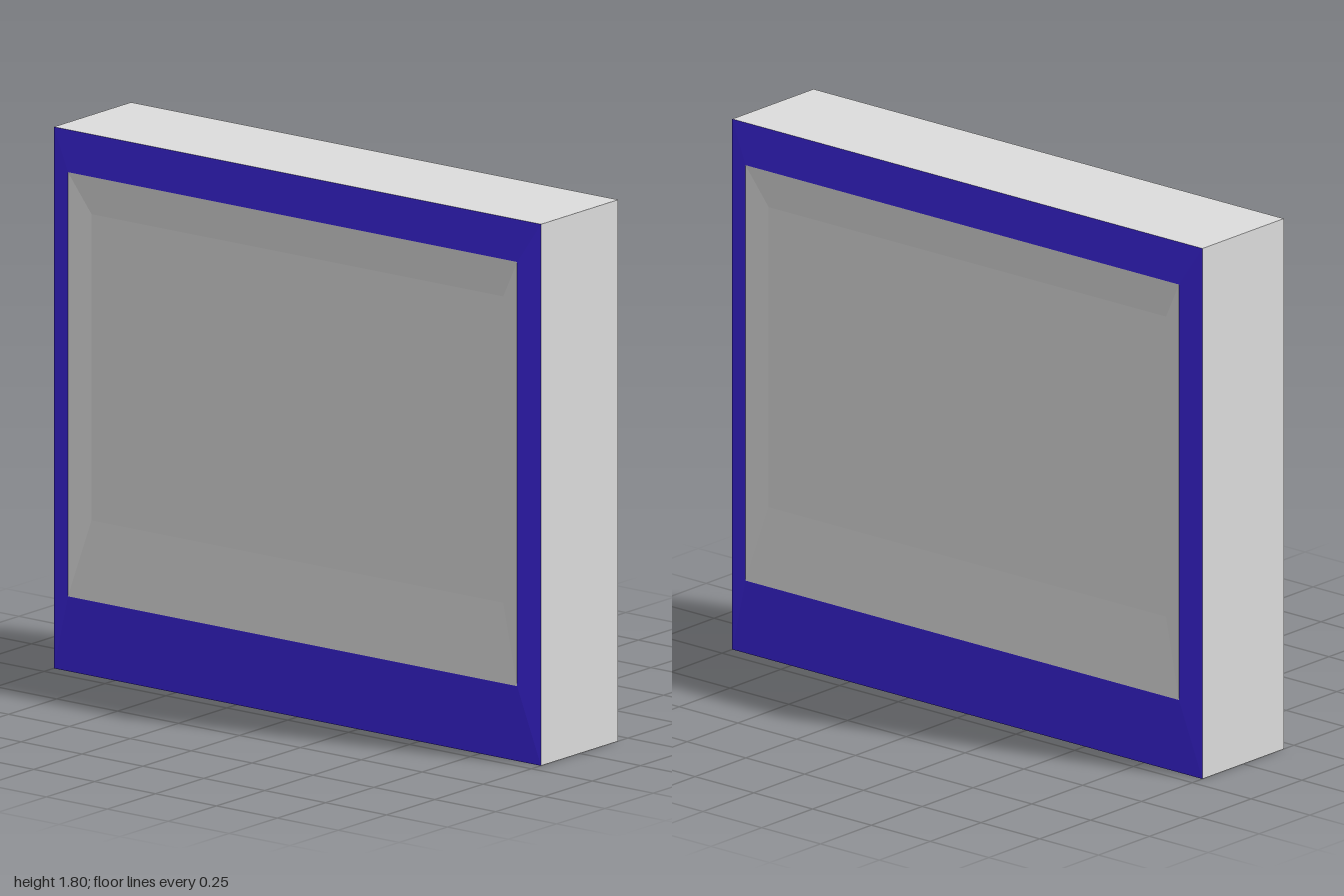
import * as THREE from 'three';

// Rectangle in the plane x, corners counter-clockwise as seen from +x
const rect = (x, z, y0, y1) => [[x, y0, z], [x, y0, -z], [x, y1, -z], [x, y1, z]];

// Flat-shaded geometry from a list of quads
function quads(list) {
  const pos = list.flatMap(([a, b, c, d]) => [a, b, c, a, c, d]).flat();
  const geo = new THREE.BufferGeometry();
  geo.setAttribute('position', new THREE.Float32BufferAttribute(pos, 3));
  geo.computeVertexNormals();
  return geo;
}

// Four quads joining two rectangles
const bridge = (a, b) => a.map((p, i) => [p, a[(i + 1) % 4], b[(i + 1) % 4], b[i]]);

export function createModel() {
  const grey = new THREE.MeshStandardMaterial({ color: 0xdcdcdc });
  grey.name = 'light grey';
  const blue = new THREE.MeshStandardMaterial({ color: 0x3b25dc });
  blue.name = 'deep blue';

  const model = new THREE.Group();
  model.name = 'signBox';
  const add = (parent, name, list, material) => {
    const mesh = new THREE.Mesh(quads(list), material);
    mesh.name = name;
    parent.add(mesh);
  };

  const outer = rect(0.2, 1, 0, 1.8);
  const ridge = rect(0.225, 0.922, 0.257, 1.667);
  const inner = rect(0.2, 0.845, 0.517, 1.535);

  // Casing: the four edges of the box
  add(model, 'casing', bridge(rect(-0.2, 1, 0, 1.8), outer), grey);

  // Both broad faces: raised frame, sloping recess and flat panel
  for (const side of ['leftFace', 'rightFace']) {
    const face = new THREE.Group();
    face.name = side;
    add(face, 'frame', bridge(outer, ridge), blue);
    add(face, 'recess', bridge(ridge, inner), grey);
    add(face, 'panel', [inner], grey);
    if (side === 'rightFace') face.rotation.y = Math.PI;
    model.add(face);
  }
  return model;
}
